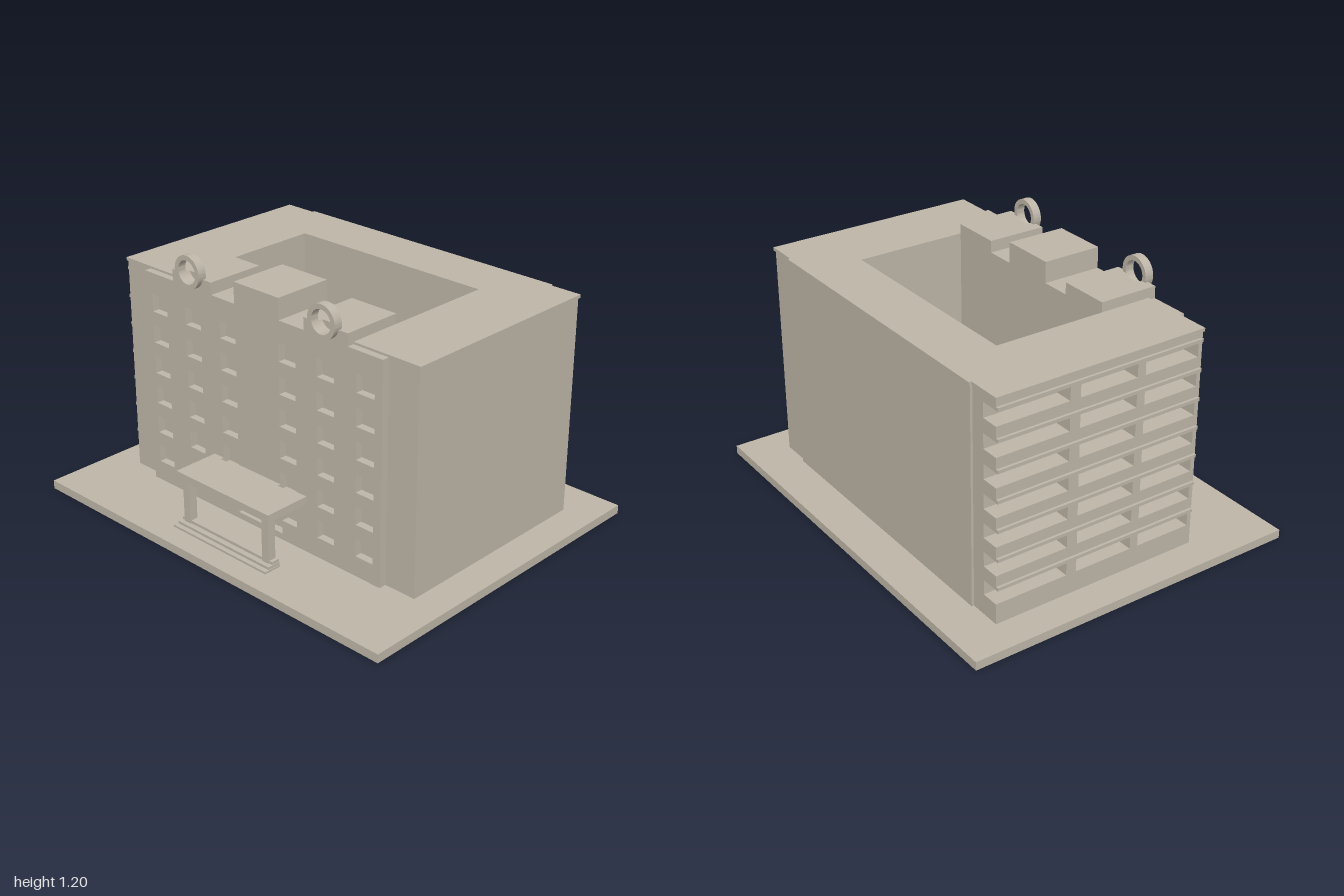
import * as THREE from 'three';
import { toCreasedNormals } from 'three/addons/utils/BufferGeometryUtils.js';

const stone = new THREE.MeshStandardMaterial({ color: 0xbdb5a7 });
stone.name = 'warm stone';

const poly = (pts) => new THREE.Shape(pts.map(([x, y]) => new THREE.Vector2(x, y)));
const rect = (x0, x1, y0, y1) => poly([[x0, y0], [x1, y0], [x1, y1], [x0, y1]]);
const extrude = (shape, depth) =>
  new THREE.ExtrudeGeometry(shape, { depth, bevelEnabled: false, curveSegments: 40 });

export function createModel() {
  const model = new THREE.Group();
  model.name = 'apartmentBlock';

  const add = (name, geometry, parent = model) => {
    const mesh = new THREE.Mesh(geometry, stone);
    mesh.name = name;
    parent.add(mesh);
    return mesh;
  };
  const box = (name, x0, x1, y0, y1, z0, z1) => {
    const g = new THREE.BoxGeometry(x1 - x0, y1 - y0, z1 - z0);
    g.translate((x0 + x1) / 2, (y0 + y1) / 2, (z0 + z1) / 2);
    return add(name, g);
  };
  // Plan shape drawn in (x, -z), raised from y0 to y1
  const raise = (name, shape, y0, y1) =>
    add(name, extrude(shape, y1 - y0).rotateX(-Math.PI / 2).translate(0, y0, 0));

  // Ground plate
  box('groundPlate', -1, 1, 0, 0.04, -0.795, 0.795);

  // Main body around an open courtyard
  const courtyard = rect(-0.51, 0.51, -0.165, 0.355);
  const body = rect(-0.765, 0.847, -0.41, 0.595);
  body.holes.push(courtyard);
  raise('mainBody', body, 0.04, 1.046);
  box('backPanel', -0.695, 0.695, 0.04, 1.046, -0.606, -0.59);

  // Roof slab, open over the courtyard and the front crown
  raise('roofSlab', poly([
    [-0.857, -0.412], [-0.51, -0.412], [-0.51, 0.355], [0.51, 0.355], [0.51, -0.412],
    [0.853, -0.412], [0.853, 0.602], [0.7, 0.602], [0.7, 0.614], [-0.7, 0.614],
    [-0.7, 0.602], [-0.857, 0.602],
  ]), 1.045, 1.06);

  // Balcony side: slots in three bays, the rear bay open at the corner
  const floors = Array.from({ length: 7 }, (_, i) => 0.135 + i * 0.133);
  const slotHeight = 0.068;
  const sideOutline = [[0.41, 1.046], [0.41, 0.04], [-0.595, 0.04]];
  for (const y of floors) {
    sideOutline.push([-0.595, y], [-0.25, y], [-0.25, y + slotHeight], [-0.595, y + slotHeight]);
  }
  sideOutline.push([-0.595, 1.046]);
  const side = poly(sideOutline);
  for (const y of floors) {
    side.holes.push(rect(-0.2, 0.08, y, y + slotHeight), rect(0.12, 0.39, y, y + slotHeight));
    box('balconyLedge', -0.86, -0.845, y + slotHeight, y + slotHeight + 0.015, -0.595, 0.405);
  }
  add('balconyWall', extrude(side, 0.083).rotateY(-Math.PI / 2).translate(-0.765, 0, 0));

  // Stepped crown, shared by the front panel and the blocks behind it
  const ringX = 0.39, ringY = 1.125, ringIn = 0.053, ringOut = 0.075, crownTop = 1.105;
  const chord = Math.acos((crownTop - ringY) / ringIn) - Math.PI / 2; // arc angle below centre
  const crown = (halfWidth, bottom, notched) => {
    const s = new THREE.Shape();
    s.moveTo(-halfWidth, bottom);
    s.lineTo(halfWidth, bottom);
    s.lineTo(halfWidth, 1.05);
    const block = (cx) => {
      s.lineTo(cx + 0.12, 1.05);
      s.lineTo(cx + 0.12, crownTop);
      if (notched) s.absarc(cx, ringY, ringIn, -chord, -Math.PI + chord, true);
      s.lineTo(cx - 0.12, crownTop);
      s.lineTo(cx - 0.12, 1.05);
    };
    block(ringX);
    for (const [x, y] of [[0.13, 1.05], [0.13, 1.147], [-0.13, 1.147], [-0.13, 1.05]]) s.lineTo(x, y);
    block(-ringX);
    if (halfWidth > 0.52) s.lineTo(-halfWidth, 1.05);
    return s;
  };
  add('crownBlocks', extrude(crown(0.51, 1.04, false), 0.245).translate(0, 0, 0.165));

  // Front panel with recessed windows; the lowest inner pair joins the doorway
  const front = crown(0.693, 0.04, true);
  const rows = [0.175, 0.322, 0.469, 0.616, 0.763, 0.91];
  rows.forEach((y, r) => {
    for (const x of [-0.605, -0.39, -0.175, 0.175, 0.39, 0.605]) {
      if (r === 0 && Math.abs(x) < 0.2) continue;
      front.holes.push(rect(x - 0.048, x + 0.048, y - 0.041, y + 0.041));
    }
  });
  front.holes.push(poly([
    [-0.135, 0.07], [0.135, 0.07], [0.135, 0.134], [0.223, 0.134], [0.223, 0.216], [0.135, 0.216],
    [0.135, 0.255], [-0.135, 0.255], [-0.135, 0.216], [-0.223, 0.216], [-0.223, 0.134], [-0.135, 0.134],
  ]));
  add('frontPanel', extrude(front, 0.035).translate(0, 0, 0.41));

  // Crown rings
  const ring = new THREE.Shape().absarc(0, 0, ringOut, 0, Math.PI * 2);
  ring.holes.push(new THREE.Path().absarc(0, 0, ringIn, 0, Math.PI * 2));
  const ringGeometry = toCreasedNormals(extrude(ring, 0.04), 0.6);
  for (const s of [-1, 1]) add('crownRing', ringGeometry).position.set(s * ringX, ringY, 0.43);

  // Entrance canopy, with small cut-outs below the windows above it
  box('canopySlab', -0.28, 0.28, 0.27, 0.283, 0.44, 0.667);
  raise('canopyTop', poly([
    [-0.28, -0.667], [0.28, -0.667], [0.28, -0.445], [0.223, -0.445], [0.223, -0.462],
    [0.127, -0.462], [0.127, -0.445], [-0.127, -0.445], [-0.127, -0.462], [-0.223, -0.462],
    [-0.223, -0.445], [-0.28, -0.445],
  ]), 0.283, 0.305);

  // Posts and entrance steps
  for (const s of [-1, 1]) box('canopyPost', s * 0.241 - 0.019, s * 0.241 + 0.019, 0.04, 0.272, 0.61, 0.65);
  [[0.05, 0.692], [0.062, 0.67], [0.075, 0.645]].forEach(([top, z], i) =>
    box('entranceStep', -0.283 + i * 0.003, 0.283 - i * 0.003, 0.035, top, 0.606, z));

  return model;
}
